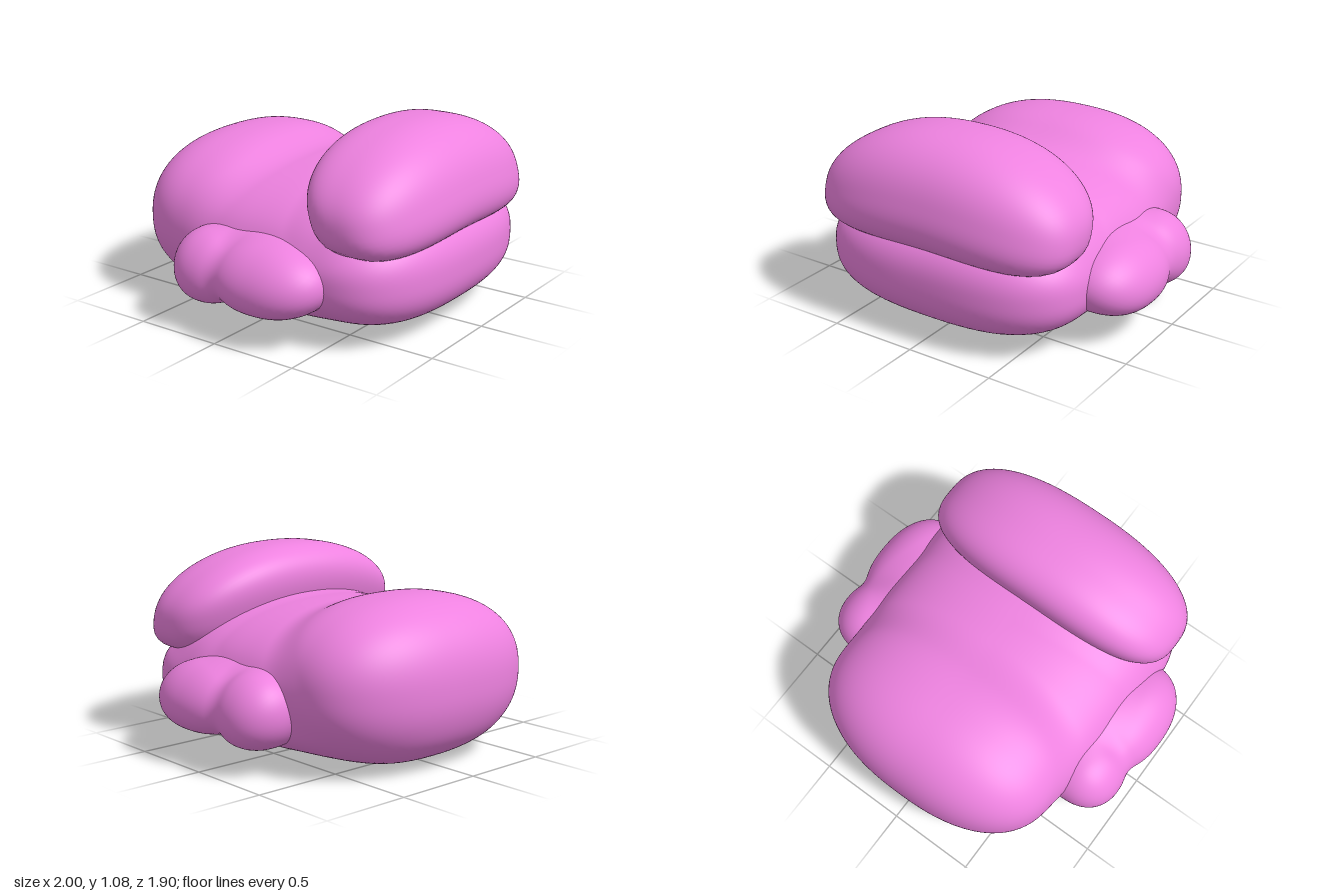
import * as THREE from 'three';
import { mergeVertices } from 'three/addons/utils/BufferGeometryUtils.js';

const material = new THREE.MeshStandardMaterial({ color: 0xee82e0 });

// Approximate distance to a superellipsoid lobe. p squares off the plan outline,
// q the upright profile, sag droops the sides, lean tips the top backwards.
function lobeDistance(point, { at, size, p, q, sag = 0, lean = 0 }) {
  const x = point.x - at[0];
  const y = point.y - at[1] + sag * (x / size[0]) ** 2;
  const z = point.z - at[2] + lean * y;
  const plan = Math.abs(x / size[0]) ** p + Math.abs(z / size[2]) ** p;
  const norm = (plan ** (q / p) + Math.abs(y / size[1]) ** q) ** (1 / q);
  return Math.hypot(x, y, z) * (1 - 1 / Math.max(norm, 1e-6));
}

// Smooth minimum, so that neighbouring lobes melt together
function blend(a, b, k) {
  const h = Math.max(k - Math.abs(a - b), 0) / k;
  return Math.min(a, b) - h * h * k * 0.25;
}

// One soft skin around several lobes: a sphere's vertices are moved out to the blended surface
function softShape(name, center, lobes, detail, k = 0.08) {
  let geometry = new THREE.IcosahedronGeometry(1, detail);
  geometry.deleteAttribute('normal');
  geometry.deleteAttribute('uv');
  geometry = mergeVertices(geometry);
  const pos = geometry.attributes.position;
  const origin = new THREE.Vector3(...center);
  const direction = new THREE.Vector3();
  const point = new THREE.Vector3();
  for (let i = 0; i < pos.count; i++) {
    direction.fromBufferAttribute(pos, i);
    let inside = 0;
    let outside = 1.5;
    for (let step = 0; step < 22; step++) {
      const middle = (inside + outside) / 2;
      point.copy(origin).addScaledVector(direction, middle);
      const distance = lobes.map((lobe) => lobeDistance(point, lobe)).reduce((a, b) => blend(a, b, k));
      if (distance < 0) inside = middle;
      else outside = middle;
    }
    point.copy(origin).addScaledVector(direction, inside);
    pos.setXYZ(i, point.x, point.y, point.z);
  }
  geometry.computeVertexNormals();
  const mesh = new THREE.Mesh(geometry, material);
  mesh.name = name;
  return mesh;
}

export function createModel() {
  const model = new THREE.Group();
  model.name = 'softBody';

  // Body: saddle, flat underside, rear bulge, lower front roll, bed under the upper roll
  model.add(softShape('body', [0, 0.42, 0], [
    { at: [0, 0.43, 0.02], size: [0.755, 0.38, 0.75], p: 2.8, q: 2.1 },
    { at: [0, 0.325, 0], size: [0.745, 0.285, 0.85], p: 2.4, q: 3.2 },
    { at: [0, 0.45, -0.47], size: [0.725, 0.445, 0.475], p: 2.4, q: 2.3 },
    { at: [0, 0.355, 0.44], size: [0.78, 0.31, 0.5], p: 2.8, q: 2.6 },
    { at: [0, 0.62, 0.43], size: [0.7, 0.2, 0.32], p: 2.8, q: 2.3, sag: 0.1 }
  ], 40));

  // Upper front roll, drooping at both ends
  model.add(softShape('upperFrontRoll', [0, 0.78, 0.59], [
    { at: [0, 0.785, 0.595], size: [0.78, 0.295, 0.34], p: 2.8, q: 2.5, sag: 0.12, lean: 0.27 }
  ], 28));

  // Two-lobed side bumps with a wide root, mirrored
  for (const [side, label] of [[1, 'left'], [-1, 'right']]) {
    model.add(softShape(label + 'SideBump', [side * 0.72, 0.34, 0.03], [
      { at: [side * 0.74, 0.34, 0.19], size: [0.26, 0.195, 0.345], p: 2.3, q: 2.1, sag: 0.04 },
      { at: [side * 0.74, 0.33, -0.19], size: [0.228, 0.205, 0.22], p: 2.2, q: 2.1, sag: 0.03 },
      { at: [side * 0.64, 0.345, 0.04], size: [0.2, 0.215, 0.44], p: 2.2, q: 2 }
    ], 20, 0.06));
  }
  return model;
}
